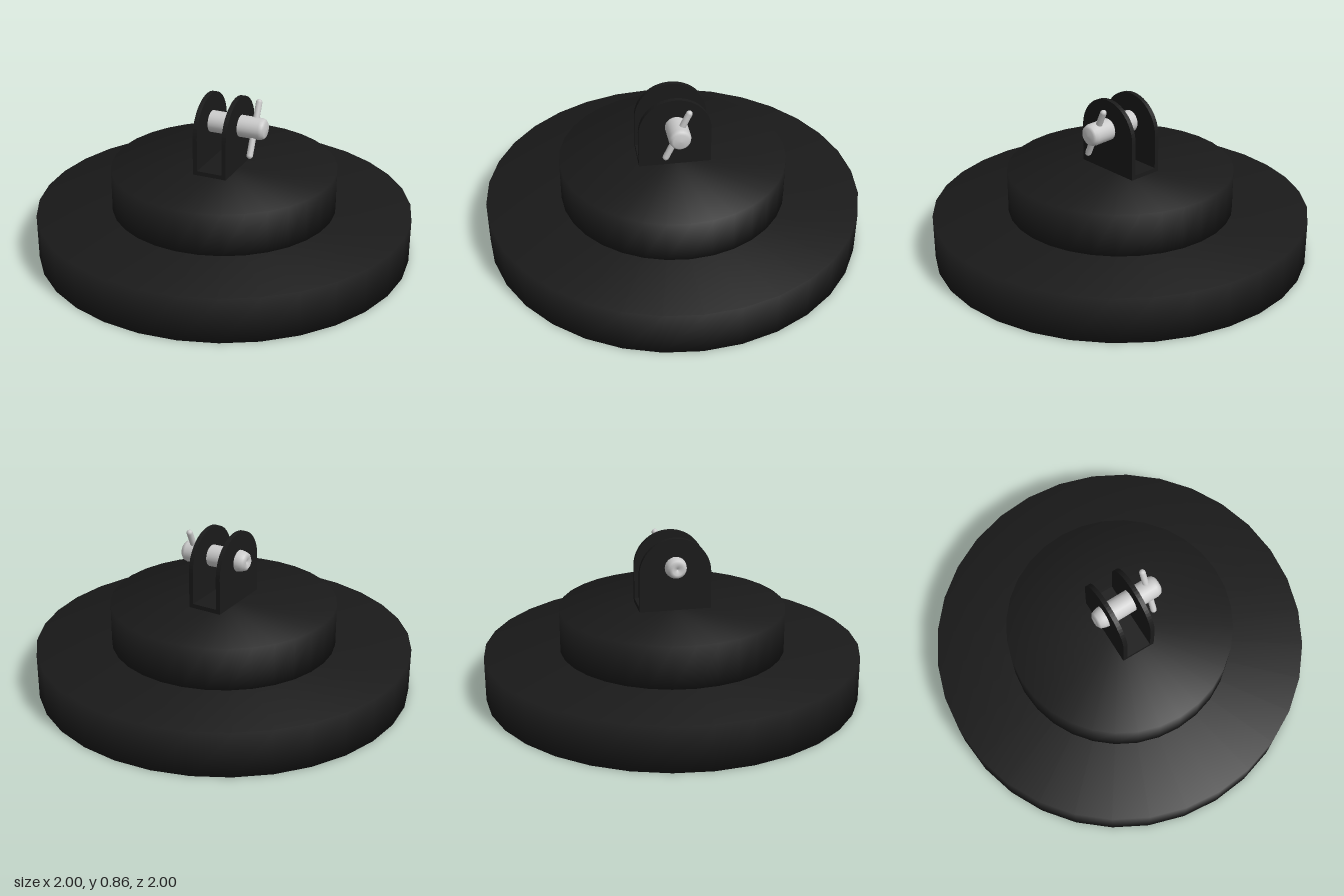
import * as THREE from 'three';
import { mergeVertices } from 'three/addons/utils/BufferGeometryUtils.js';

const black = new THREE.MeshStandardMaterial({ color: 0x1a1a1a });
const grey = new THREE.MeshStandardMaterial({ color: 0xcccccc });

function add(parent, name, geometry, material, x = 0, y = 0, z = 0) {
  const mesh = new THREE.Mesh(geometry, material);
  mesh.name = name;
  mesh.position.set(x, y, z);
  parent.add(mesh);
  return mesh;
}

// Disc whose normals blend softly over the rim
function softDisc(radius, height) {
  const disc = new THREE.CylinderGeometry(radius, radius, height, 32);
  disc.deleteAttribute('uv');
  disc.deleteAttribute('normal');
  const soft = mergeVertices(disc);
  soft.computeVertexNormals();
  return soft;
}

export function createModel() {
  const model = new THREE.Group();

  // Stepped round base
  add(model, 'baseDisc', softDisc(1, 0.24), black, 0, 0.12);
  add(model, 'upperDisc', softDisc(0.6, 0.23), black, 0, 0.352);

  // U-shaped bracket: strap and two round-topped plates
  const bracket = new THREE.Group();
  bracket.name = 'bracket';
  model.add(bracket);
  const t = 0.024, half = 0.093, r = 0.19;
  add(bracket, 'strap', new THREE.BoxGeometry(2 * half, t, 2 * r), black, 0, 0.478);
  const outline = new THREE.Shape();
  outline.moveTo(-r, 0.467);
  outline.lineTo(r, 0.467);
  outline.lineTo(r, 0.665);
  outline.absarc(0, 0.665, r, 0, Math.PI, false);
  const plate = new THREE.ExtrudeGeometry(outline, { depth: t, bevelEnabled: false, curveSegments: 16 });
  plate.rotateY(Math.PI / 2);
  add(bracket, 'leftPlate', plate, black, half - t);
  add(bracket, 'rightPlate', plate, black, -half);

  // Clevis pin: dimpled tapered tip at -x, rounded end at +x
  const pin = new THREE.Group();
  pin.name = 'clevisPin';
  pin.position.set(0, 0.7, -0.002);
  pin.rotation.set(0, 0.03, -0.015);
  model.add(pin);
  const profile = [
    [0, -0.132], [0.028, -0.15], [0.046, -0.138], [0.054, -0.115], [0.058, -0.09],
    [0.058, 0.205], [0.052, 0.223], [0.04, 0.233], [0, 0.236],
  ].map(([a, b]) => new THREE.Vector2(a, b));
  const shaft = add(pin, 'pinShaft', new THREE.LatheGeometry(profile, 24), grey);
  shaft.rotation.z = -Math.PI / 2;

  // Slanted cross pin near the rounded end
  const cross = add(model, 'crossPin', new THREE.CapsuleGeometry(0.017, 0.28, 4, 12), grey, 0.171, 0.695, 0);
  cross.rotation.x = -0.44;

  return model;
}
